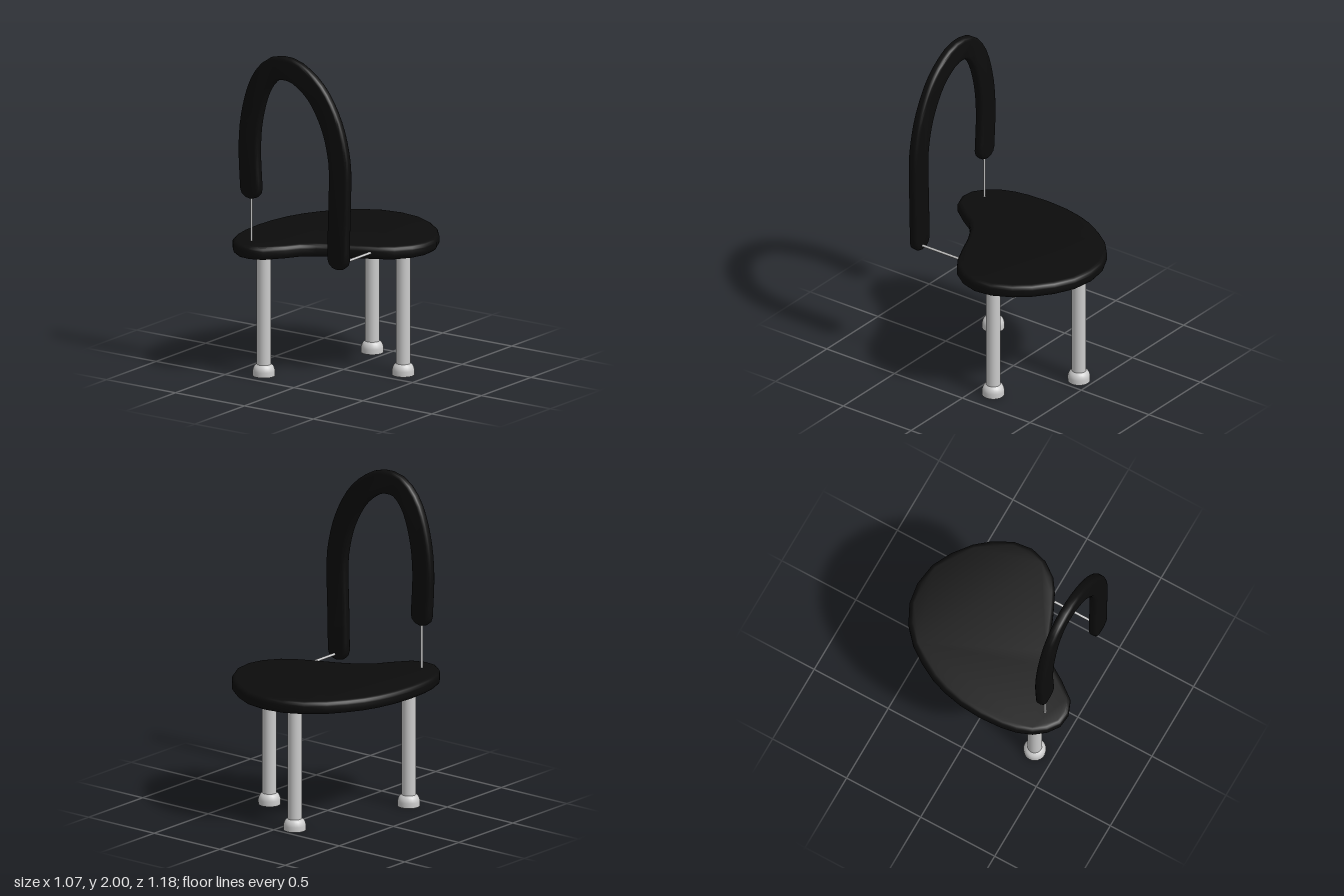
import * as THREE from 'three';
import { toCreasedNormals } from 'three/addons/utils/BufferGeometryUtils.js';

const black = new THREE.MeshStandardMaterial({ color: 0x0c0c0c });
const grey = new THREE.MeshStandardMaterial({ color: 0xcccccc });
const greyOpen = new THREE.MeshStandardMaterial({ color: 0xcccccc, side: THREE.DoubleSide });

function mesh(name, geometry, material) {
  const m = new THREE.Mesh(geometry, material);
  m.name = name;
  return m;
}

// Flat slab with softly rounded rims, keeping the outline's full size
function slab(points, thickness, round) {
  const geometry = new THREE.ExtrudeGeometry(new THREE.Shape(points), {
    depth: thickness - 2 * round,
    bevelEnabled: true,
    bevelThickness: round,
    bevelSize: round,
    bevelOffset: -round,
    bevelSegments: 4,
  });
  geometry.translate(0, 0, round);
  return toCreasedNormals(geometry, 0.7);
}

// Thin round bar between two points
function rod(name, a, b, radius) {
  const dir = b.clone().sub(a);
  const m = mesh(name, new THREE.CylinderGeometry(radius, radius, dir.length(), 12), grey);
  m.position.copy(a).add(b).multiplyScalar(0.5);
  m.quaternion.setFromUnitVectors(new THREE.Vector3(0, 1, 0), dir.normalize());
  return m;
}

// Kidney-shaped seat, outline given as x, z
function createSeat() {
  const outline = [
    [0.01, -0.59], [0.15, -0.57], [0.27, -0.51], [0.38, -0.425], [0.455, -0.335],
    [0.515, -0.22], [0.53, -0.105], [0.5, 0], [0.435, 0.09], [0.355, 0.145],
    [0.24, 0.2], [0.12, 0.25], [0.02, 0.305], [-0.05, 0.365], [-0.1, 0.445],
    [-0.185, 0.555], [-0.27, 0.588], [-0.35, 0.58], [-0.42, 0.53], [-0.475, 0.46],
    [-0.51, 0.37], [-0.527, 0.28], [-0.535, 0.14], [-0.525, 0], [-0.5, -0.12],
    [-0.465, -0.22], [-0.41, -0.32], [-0.34, -0.42], [-0.24, -0.51], [-0.12, -0.57],
  ].map(([x, z]) => new THREE.Vector2(x, -z)).reverse();
  const seat = mesh('seat', slab(outline, 0.08, 0.028), black);
  seat.rotation.x = -Math.PI / 2;
  seat.position.y = 0.755;
  return seat;
}

// Hooped backrest: a band of constant width with rounded ends
function createBackrest() {
  const half = 0.071, tip = 0.06;
  const path = new THREE.SplineCurve([
    [-0.333, 1.155], [-0.345, 1.4], [-0.327, 1.6], [-0.27, 1.79], [-0.185, 1.9], [-0.09, 1.929],
    [0.02, 1.903], [0.15, 1.8], [0.25, 1.63], [0.3, 1.45], [0.31, 1.3], [0.302, 1.0], [0.3, 0.82],
  ].map(([x, y]) => new THREE.Vector2(x, y)));
  const steps = 40, outer = [], inner = [];
  for (let i = 0; i <= steps; i++) {
    const p = path.getPointAt(i / steps), t = path.getTangentAt(i / steps);
    const n = new THREE.Vector2(-t.y, t.x).multiplyScalar(half);
    outer.push(p.clone().add(n));
    inner.push(p.clone().sub(n));
  }
  // Half-oval end cap, from one side of the band to the other
  const cap = (u, sign) => {
    const p = path.getPointAt(u), t = path.getTangentAt(u).multiplyScalar(sign);
    const n = new THREE.Vector2(-t.y, t.x);
    return [1, 2, 3, 4, 5].map((k) => {
      const a = (k / 6) * Math.PI;
      return p.clone().addScaledVector(n, half * Math.cos(a)).addScaledVector(t, tip * Math.sin(a));
    });
  };
  const outline = [...outer, ...cap(1, 1), ...inner.reverse(), ...cap(0, -1)].reverse();
  const back = mesh('backrest', slab(outline, 0.06, 0.022), black);
  back.position.z = 0.436;
  return back;
}

// Round leg on a hollow flared foot
function createLeg(x, z) {
  const leg = new THREE.Group();
  leg.name = 'leg';
  const post = mesh('legPost', new THREE.CylinderGeometry(0.043, 0.043, 0.7, 24), grey);
  post.position.y = 0.415;
  const profile = [[0.066, 0], [0.067, 0.03], [0.063, 0.045], [0.056, 0.06], [0.043, 0.07]];
  const foot = mesh('foot', new THREE.LatheGeometry(
    profile.map(([r, y]) => new THREE.Vector2(r, y)), 24), greyOpen);
  leg.add(post, foot);
  leg.position.set(x, 0, z);
  return leg;
}

export function createModel() {
  const chair = new THREE.Group();
  chair.name = 'chair';
  chair.add(createSeat(), createBackrest());
  for (const [x, z] of [[-0.305, 0.38], [-0.09, -0.415], [0.35, -0.115]]) chair.add(createLeg(x, z));

  // Slim bars joining the backrest ends to the seat
  const v = (x, y, z) => new THREE.Vector3(x, y, z);
  chair.add(
    rod('uprightRod', v(-0.333, 0.8, 0.466), v(-0.333, 1.13, 0.466), 0.007),
    rod('levelRod', v(0.31, 0.797, 0.15), v(0.31, 0.797, 0.45), 0.008),
  );
  return chair;
}
